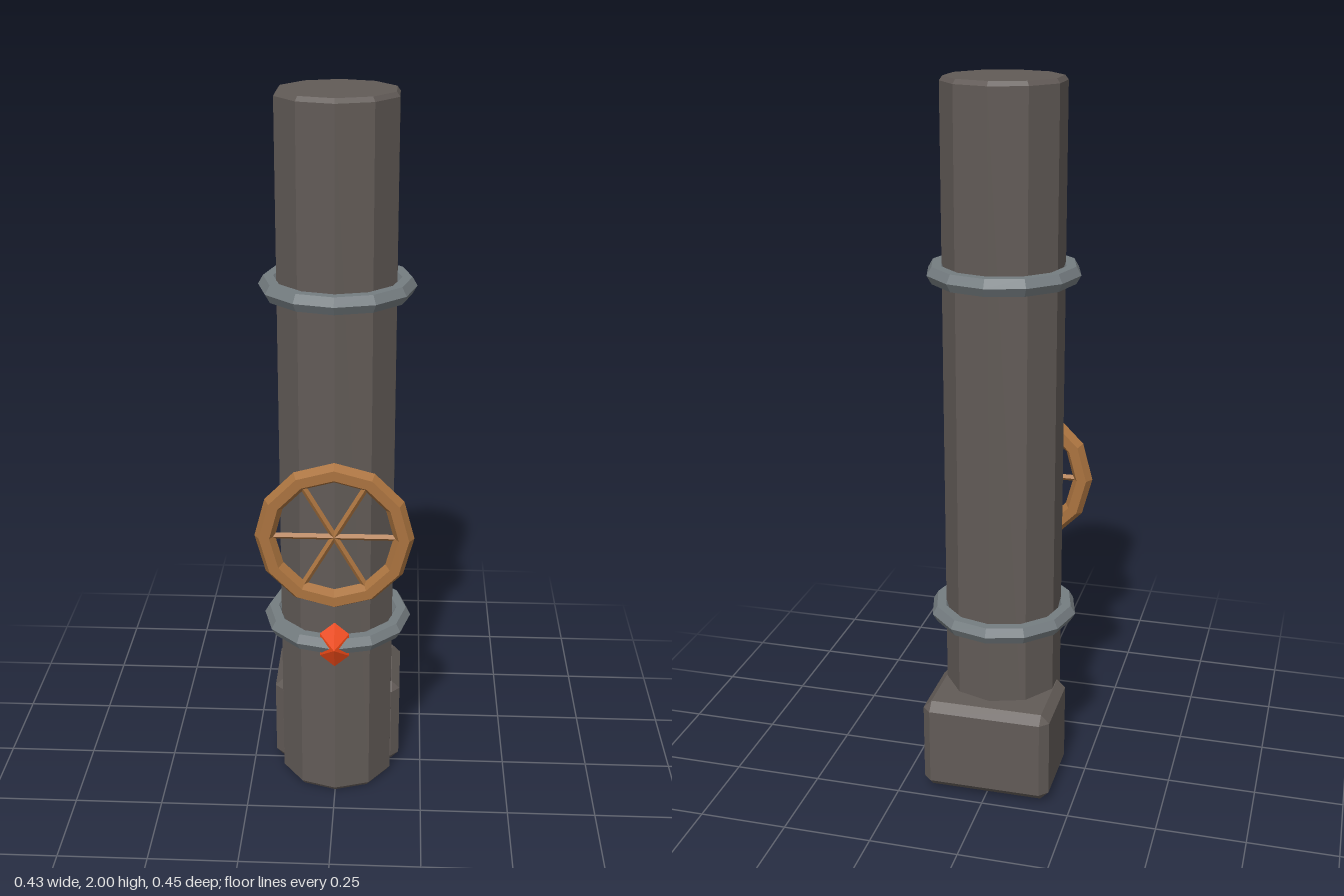
import * as THREE from 'three';
import { ConvexGeometry } from 'three/addons/geometries/ConvexGeometry.js';

const paint = (color) => new THREE.MeshStandardMaterial({ color, flatShading: true });

function part(parent, name, geometry, material, x = 0, y = 0, z = 0) {
  const mesh = new THREE.Mesh(geometry, material);
  mesh.name = name;
  mesh.position.set(x, y, z);
  parent.add(mesh);
  return mesh;
}

// Box with flat chamfers on every edge and corner
function chamferBox(w, h, d, c) {
  const points = [];
  for (const x of [-1, 1]) for (const y of [-1, 1]) for (const z of [-1, 1]) {
    for (let axis = 0; axis < 3; axis++) {
      const cut = [c, c, c];
      cut[axis] = 0;
      points.push(new THREE.Vector3(x * (w / 2 - cut[0]), y * (h / 2 - cut[1]), z * (d / 2 - cut[2])));
    }
  }
  return new ConvexGeometry(points);
}

export function createModel() {
  const model = new THREE.Group();
  model.name = 'steamPipe';
  const iron = paint(0x625b57);
  const steel = paint(0x757d81);
  const copper = paint(0xaa733f);
  const red = paint(0xf04a18);

  // Ten-sided pipe with bevelled, closed ends
  const profile = [[0, 0], [0.157, 0], [0.166, 0.012], [0.166, 1.988], [0.157, 2], [0, 2]];
  part(model, 'pipe', new THREE.LatheGeometry(profile.map(([r, y]) => new THREE.Vector2(r, y)), 10),
    iron, 0, 0, 0.004);

  // Chamfered base block behind the pipe
  part(model, 'baseBlock', chamferBox(0.368, 0.272, 0.258, 0.024), iron, 0, 0.146, -0.096);

  // Clamping rings
  for (const y of [0.505, 1.492]) {
    const ring = part(model, 'ring', new THREE.TorusGeometry(0.184, 0.027, 6, 12), steel, 0, y, 0.003);
    ring.rotation.x = Math.PI / 2;
  }

  // Hand wheel: rim and three crossing bars that make six spokes
  const wheel = new THREE.Group();
  wheel.name = 'valveWheel';
  wheel.position.set(0, 0.845, 0.195);
  model.add(wheel);
  part(wheel, 'rim', new THREE.TorusGeometry(0.188, 0.028, 6, 12), copper);
  for (let i = 0; i < 3; i++) {
    const bar = part(wheel, 'spokeBar', new THREE.CylinderGeometry(0.009, 0.009, 0.36, 4), copper);
    bar.rotation.z = Math.PI / 2 + i * Math.PI / 3;
  }

  // Six-sided pointed lamp on the lower ring
  const lamp = part(model, 'warningLamp', new THREE.SphereGeometry(1, 6, 2), red, 0, 0.505, 0.186);
  lamp.geometry.rotateX(Math.PI / 2);
  lamp.geometry.rotateZ(Math.PI / 6);
  lamp.scale.set(0.047, 0.07, 0.036);

  return model;
}
